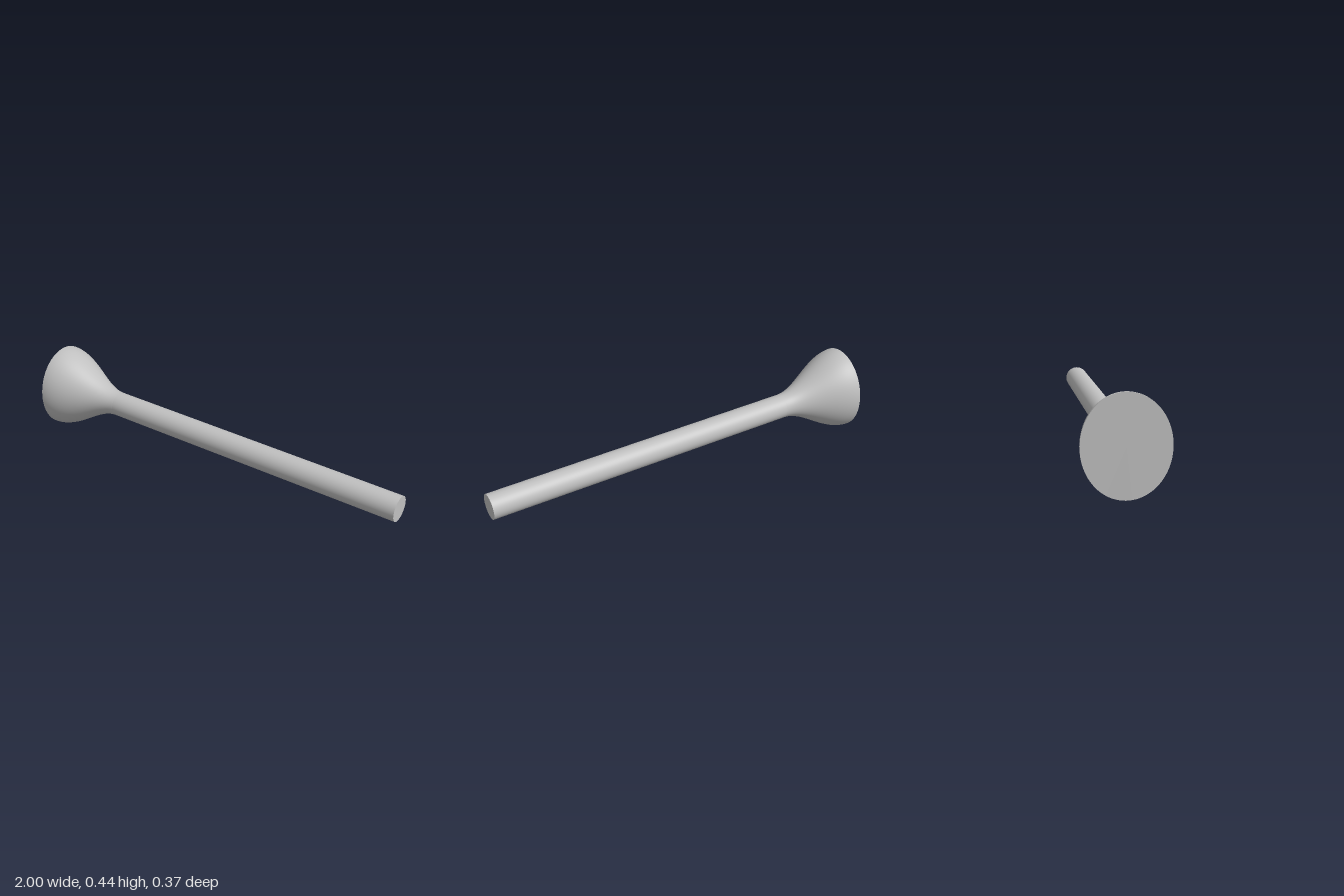
import * as THREE from 'three';
import { mergeVertices } from 'three/addons/utils/BufferGeometryUtils.js';

const SIDES = 96;
const AXIS_Y = 0.219;       // height of the centre line
const ROD_R = 0.062;
const FLARE_RY = 0.219;     // oval end: half height and half depth
const FLARE_RZ = 0.187;
const FLARE_X = -1, NECK_X = -0.62, END_X = 1;

// Tube along x whose cross-section follows radii(t) => [ry, rz]
function tubeAlongX(x0, x1, steps, radii) {
  const geo = new THREE.CylinderGeometry(1, 1, 1, SIDES, steps, true);
  geo.rotateZ(-Math.PI / 2);
  geo.deleteAttribute('uv');
  geo.deleteAttribute('normal');
  const p = geo.attributes.position;
  for (let i = 0; i < p.count; i++) {
    const t = p.getX(i) + 0.5;
    const [ry, rz] = radii(t);
    p.setXYZ(i, x0 + (x1 - x0) * t, p.getY(i) * ry, p.getZ(i) * rz);
  }
  const smooth = mergeVertices(geo, 1e-5);
  smooth.computeVertexNormals();
  return smooth;
}

// Flat oval cap facing +x (dir 1) or -x (dir -1)
function cap(x, ry, rz, dir) {
  return new THREE.CircleGeometry(1, SIDES)
    .scale(rz, ry, 1)
    .rotateY(dir * Math.PI / 2)
    .translate(x, 0, 0);
}

export function createModel() {
  const model = new THREE.Group();
  model.name = 'flaredRod';
  const grey = new THREE.MeshStandardMaterial({ color: 0xc0c0c0 });
  grey.name = 'light grey';

  const add = (name, geometry) => {
    const mesh = new THREE.Mesh(geometry, grey);
    mesh.name = name;
    mesh.position.y = AXIS_Y;
    model.add(mesh);
  };

  // Oval flare easing into the round rod
  add('flare', tubeAlongX(FLARE_X, NECK_X, 32, (t) => {
    const s = THREE.MathUtils.smoothstep(t, 0, 1);
    return [
      THREE.MathUtils.lerp(FLARE_RY, ROD_R, s),
      THREE.MathUtils.lerp(FLARE_RZ, ROD_R, s),
    ];
  }));
  add('rod', tubeAlongX(NECK_X, END_X, 1, () => [ROD_R, ROD_R]));

  // Flat ends
  add('flareEnd', cap(FLARE_X, FLARE_RY, FLARE_RZ, -1));
  add('rodEnd', cap(END_X, ROD_R, ROD_R, 1));

  return model;
}
